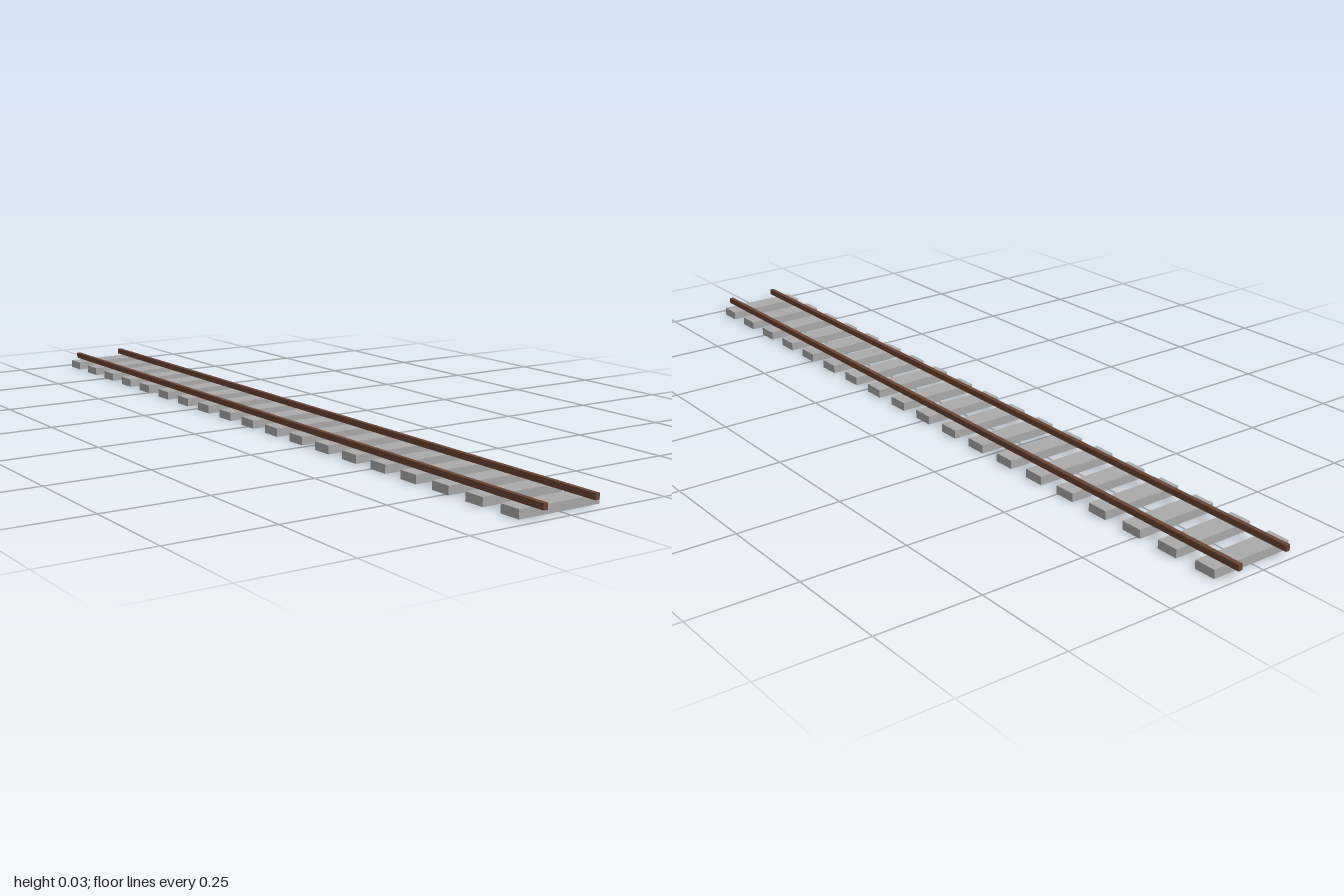
import * as THREE from 'three';

export function createModel() {
  const track = new THREE.Group();
  track.name = 'railwayTrack';

  const concrete = new THREE.MeshStandardMaterial({ color: 0xaaaaaa });
  concrete.name = 'concreteGrey';
  const rust = new THREE.MeshStandardMaterial({ color: 0x6b4532 });
  rust.name = 'rustBrown';

  // Evenly spaced cross sleepers
  const count = 19, spacing = 0.1047, sleeperHeight = 0.02;
  const sleeperGeometry = new THREE.BoxGeometry(0.208, sleeperHeight, 0.0523);
  for (let i = 0; i < count; i++) {
    const sleeper = new THREE.Mesh(sleeperGeometry, concrete);
    sleeper.name = `sleeper${i + 1}`;
    sleeper.position.set(0, sleeperHeight / 2, (i - (count - 1) / 2) * spacing);
    track.add(sleeper);
  }

  // Two square rails resting on the sleepers
  const railHeight = 0.014;
  const railGeometry = new THREE.BoxGeometry(0.0107, railHeight, 2);
  for (const side of [-1, 1]) {
    const rail = new THREE.Mesh(railGeometry, rust);
    rail.name = side > 0 ? 'leftRail' : 'rightRail';
    rail.position.set(side * 0.0667, sleeperHeight + railHeight / 2, 0);
    track.add(rail);
  }

  return track;
}
